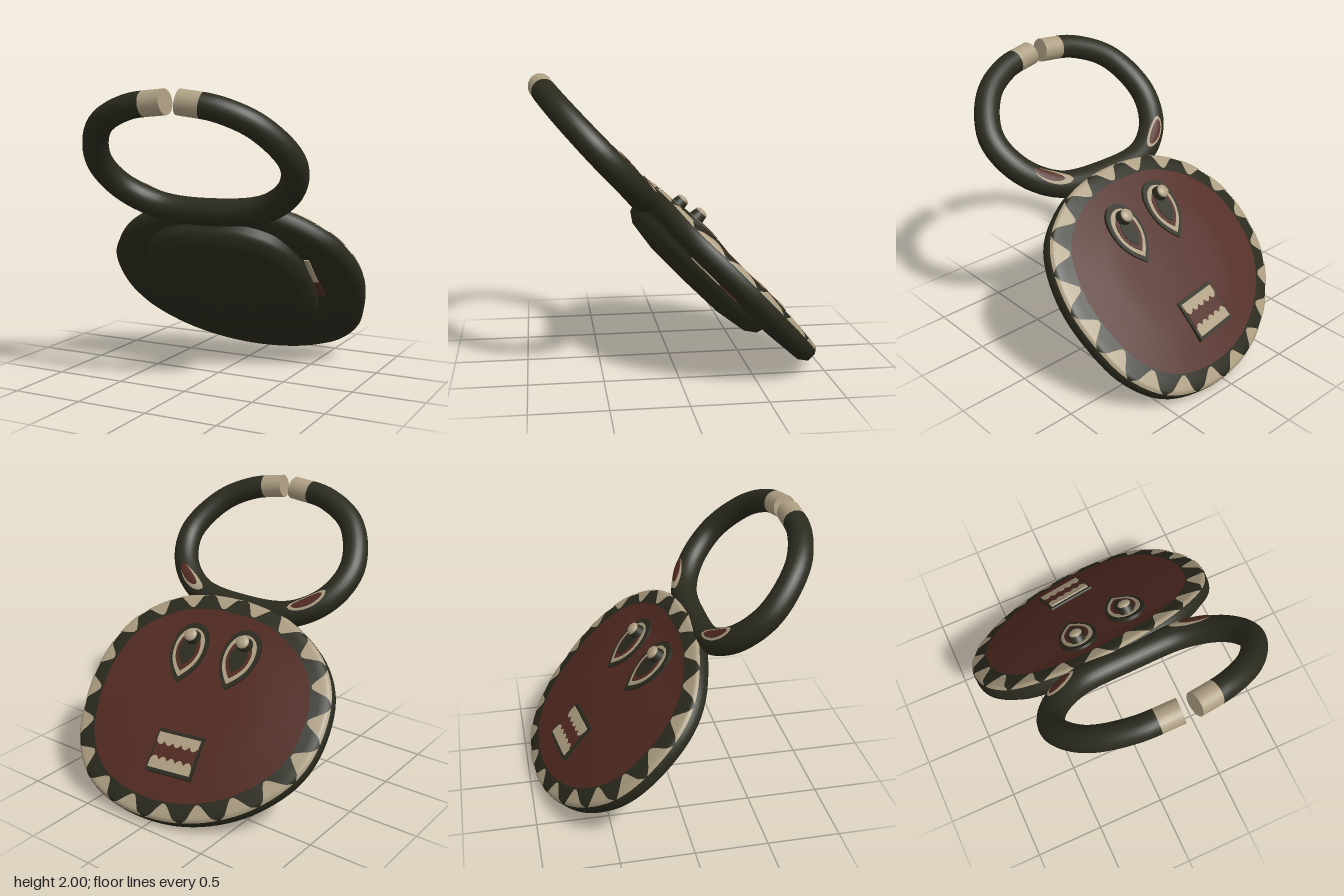
import * as THREE from 'three';
import { mergeVertices } from 'three/addons/utils/BufferGeometryUtils.js';

const paint = (name, color) =>
  Object.assign(new THREE.MeshStandardMaterial({ color, side: THREE.DoubleSide }), { name });
const V = (x, y, z) => new THREE.Vector3(x, y, z);

export function createModel() {
  const dark = paint('dark olive wood', 0x2a2a1e);
  const red = paint('earth red', 0x512a21);
  const cream = paint('cream', 0xad9e82);

  const add = (parent, name, geometry, material) => {
    const mesh = new THREE.Mesh(geometry, material);
    mesh.name = name;
    parent.add(mesh);
    return mesh;
  };

  // Smooth grid surface from a rule (u, v) -> point
  const sheet = (nu, nv, rule) => {
    const pos = [], index = [];
    for (let i = 0; i <= nu; i++)
      for (let j = 0; j <= nv; j++) pos.push(...rule(i / nu, j / nv).toArray());
    for (let i = 0; i < nu; i++)
      for (let j = 0; j < nv; j++) {
        const a = i * (nv + 1) + j, b = a + nv + 1;
        index.push(a, b, b + 1, a, b + 1, a + 1);
      }
    const g = new THREE.BufferGeometry();
    g.setAttribute('position', new THREE.Float32BufferAttribute(pos, 3));
    g.setIndex(index);
    const welded = mergeVertices(g, 1e-5);
    welded.computeVertexNormals();
    return welded;
  };

  // The leaning frame: local z points out of the painted face, local x is mirrored
  const model = new THREE.Group();
  model.name = 'mask';
  const lean = new THREE.Group();
  lean.name = 'leaningMask';
  const s2 = Math.SQRT1_2;
  lean.quaternion.setFromRotationMatrix(
    new THREE.Matrix4().makeBasis(V(-1, 0, 0), V(0, s2, s2), V(0, s2, -s2)));
  lean.position.y = 1;
  model.add(lean);

  // ---- Disc: one outline scaled through a profile of [scale, height] ----
  const disc = new THREE.Group();
  disc.name = 'disc';
  disc.rotation.set(0.012, 0.085, 0);
  lean.add(disc);

  const outline = new THREE.CatmullRomCurve3([
    [-0.93, -0.5], [-0.88, -0.76], [-0.69, -1.03], [-0.43, -1.22], [-0.12, -1.33],
    [0.26, -1.345], [0.56, -1.25], [0.77, -1.04], [0.87, -0.8], [0.925, -0.48],
    [0.88, -0.18], [0.78, 0], [0.53, 0.19], [0.28, 0.27], [0, 0.295],
    [-0.26, 0.28], [-0.47, 0.21], [-0.7, 0.07], [-0.87, -0.16],
  ].map(([x, y]) => V(-x, y, 0)), true);
  const sample = (profile, p) => {
    const i = Math.min(Math.floor(p + 1e-9), profile.length - 2), f = p - i;
    return [0, 1].map((k) => profile[i][k] + (profile[i + 1][k] - profile[i][k]) * f);
  };
  const discProfile = [
    [0, 0.092], [0.5, 0.086], [0.85, 0.062], [0.97, 0.042], [1, 0.01],
    [1, -0.055], [0.94, -0.095], [0.7, -0.11], [0.5, -0.11],
  ];
  const centre = V(0.01, -0.51, 0);
  const discPoint = (p, t, lift = 0) => {
    const [s, z] = sample(discProfile, p);
    const point = outline.getPointAt((2 - t) % 1).sub(centre).multiplyScalar(s + lift).add(centre);
    // The brow edge rises to overlap the horns
    point.z = z + lift + 0.035 * THREE.MathUtils.smoothstep(point.y, -0.05, 0.3);
    return point;
  };
  add(disc, 'face', sheet(8, 96, (u, v) => discPoint(u * 2, v)), red);
  add(disc, 'rimAndBack', sheet(12, 96, (u, v) => discPoint(2 + u * 6, v)), dark);

  // Border of painted triangles, points inward
  const count = 20;
  for (let k = 0; k < count; k++)
    add(disc, 'borderTriangle', sheet(8, 6, (u, v) => {
      const half = (0.05 + 0.41 * Math.pow(u, 0.8)) / count;
      return discPoint(2.08 + 1.6 * u, (k + 0.5) / count + (2 * v - 1) * half, 0.005);
    }), cream);

  // Raised rounded slab on the back
  const slabProfile = [[1, -0.09], [0.96, -0.16], [0.85, -0.21], [0.5, -0.245], [0, -0.25]];
  add(disc, 'backSlab', sheet(12, 64, (u, v) => {
    const [s, z] = sample(slabProfile, u * 4);
    const c = Math.cos(v * 2 * Math.PI), d = Math.sin(v * 2 * Math.PI);
    return V(0.62 * s * Math.sign(c) * Math.abs(c) ** 0.8,
      0.62 * s * Math.sign(d) * Math.abs(d) ** 0.8 - 0.4, z);
  }), dark);
  // Paint smears beside the slab
  add(disc, 'creamSmear', new THREE.BoxGeometry(0.035, 0.25, 0.008), cream).position.set(-0.625, -0.28, -0.114);
  add(disc, 'redSmear', new THREE.BoxGeometry(0.045, 0.16, 0.008), red).position.set(-0.63, -0.485, -0.114);

  // Flat plate from a buried level up to a given height
  const plate = (shape, top) =>
    new THREE.ExtrudeGeometry(shape, { depth: top - 0.04, bevelEnabled: false, curveSegments: 10 })
      .translate(0, 0, 0.04);

  // ---- Eyes: nested teardrops and a round pupil on a stem ----
  const teardrop = (k) => {
    const s = new THREE.Shape();
    s.moveTo(0, -0.235 * k);
    s.bezierCurveTo(0.08 * k, -0.16 * k, 0.14 * k, -0.08 * k, 0.14 * k, 0.04 * k);
    s.bezierCurveTo(0.14 * k, 0.17 * k, 0.07 * k, 0.23 * k, 0, 0.23 * k);
    s.bezierCurveTo(-0.07 * k, 0.23 * k, -0.14 * k, 0.17 * k, -0.14 * k, 0.04 * k);
    s.bezierCurveTo(-0.14 * k, -0.08 * k, -0.08 * k, -0.16 * k, 0, -0.235 * k);
    return s;
  };
  for (const [name, x, y, turn] of [['rightEye', -0.155, -0.14, 0], ['leftEye', 0.235, -0.2, 0.1]]) {
    const eye = new THREE.Group();
    eye.name = name;
    eye.position.set(-x, y, 0);
    eye.rotation.z = turn;
    disc.add(eye);
    add(eye, 'eyeOutline', plate(teardrop(0.98), 0.1), dark);
    add(eye, 'eyeWhite', plate(teardrop(0.8), 0.105), cream);
    add(eye, 'eyeRed', plate(teardrop(0.62), 0.109), red);
    add(eye, 'eyeHollow', plate(teardrop(0.44), 0.114), dark);
    const stem = new THREE.CylinderGeometry(0.045, 0.06, 0.08, 20).rotateX(Math.PI / 2);
    add(eye, 'pupilStem', stem, dark).position.set(0.01, 0.11, 0.122);
    const pupil = add(eye, 'pupil', new THREE.SphereGeometry(0.047, 20, 12), cream);
    pupil.position.set(0.01, 0.11, 0.16);
    pupil.scale.z = 0.5;
  }

  // ---- Mouth: frame, red lips and two scalloped rows of teeth ----
  const mouth = new THREE.Group();
  mouth.name = 'mouth';
  mouth.position.set(0.03, -0.895, 0);
  mouth.rotation.z = 0.11;
  disc.add(mouth);
  const block = (w, h) => new THREE.Shape([
    [-w, -h], [w, -h], [w, h], [-w, h]].map(([x, y]) => new THREE.Vector2(x, y)));
  add(mouth, 'mouthFrame', plate(block(0.175, 0.15), 0.103), dark);
  add(mouth, 'lips', plate(block(0.16, 0.085), 0.109), red);
  for (const side of [1, -1]) {
    const pts = [[-0.16, 0.125], [0.16, 0.125]];
    for (let i = 0; i <= 20; i++)
      pts.push([0.16 - 0.016 * i, 0.066 - 0.028 * Math.abs(Math.sin(i * Math.PI / 4))]);
    const row = new THREE.Shape(pts.map(([x, y]) => new THREE.Vector2(x, y * side)));
    add(mouth, side > 0 ? 'upperTeeth' : 'lowerTeeth', plate(row, 0.113), cream);
  }

  // ---- Horns: one bent bar, almost closing into a ring ----
  const horns = new THREE.Group();
  horns.name = 'horns';
  lean.add(horns);
  const bar = new THREE.CatmullRomCurve3([
    [0.085, 1.26, 0.035], [-0.2, 1.225, 0.02], [-0.47, 1.07, 0], [-0.61, 0.76, -0.025],
    [-0.54, 0.5, -0.03], [-0.32, 0.32, -0.03], [0.08, 0.275, -0.03], [0.46, 0.32, -0.01],
    [0.69, 0.5, 0.01], [0.775, 0.76, 0.02], [0.64, 1.05, 0.03], [0.42, 1.2, 0.035],
    [0.175, 1.26, 0.035],
  ].map(([x, y, z]) => V(-x, y, z)));
  const barPoint = (t, angle, scale = 1, lift = 0) => {
    const tangent = bar.getTangentAt(t);
    const side = V(0, 0, 1).cross(tangent).normalize();
    const up = tangent.clone().cross(side);
    const r = (0.081 + 0.014 * Math.sin(Math.PI * t) ** 2 + lift) * scale;
    return bar.getPointAt(t)
      .addScaledVector(up, r * Math.cos(angle)).addScaledVector(side, r * Math.sin(angle));
  };
  const turn = 2 * Math.PI, tipLength = 0.041;
  const span = (a, b, n) => sheet(n, 24, (u, v) => barPoint(a + (b - a) * u, v * turn));
  add(horns, 'hornBar', span(tipLength, 1 - tipLength, 80), dark);
  add(horns, 'rightHornTip', span(0, tipLength, 4), cream);
  add(horns, 'leftHornTip', span(1 - tipLength, 1, 4), cream);
  add(horns, 'rightTipEnd', sheet(1, 24, (u, v) => barPoint(0, v * turn, u)), cream);
  add(horns, 'leftTipEnd', sheet(1, 24, (u, v) => barPoint(1, v * turn, 1 - u)), cream);

  // Leaf-shaped ears painted on the horn bases
  const nearest = (x, y) => {
    let best = 0, far = 9;
    for (let i = 0; i <= 200; i++) {
      const p = bar.getPointAt(i / 200), d = Math.hypot(p.x + x, p.y - y);
      if (d < far) { far = d; best = i / 200; }
    }
    return best;
  };
  const leaf = (mid, half, width, lift) => sheet(16, 8, (u, v) =>
    barPoint(mid + (2 * u - 1) * half, (2 * v - 1) * width * Math.sqrt(Math.sin(Math.PI * u)), 1, lift));
  for (const [name, x, y, shift] of [['rightEar', -0.44, 0.4, 0], ['leftEar', 0.56, 0.38, -0.01]]) {
    const mid = nearest(x, y);
    add(horns, name + 'Border', leaf(mid + shift, 0.04, 0.5, 0.004), cream);
    add(horns, name, leaf(mid, 0.032, 0.33, 0.008), red);
  }
  return model;
}
